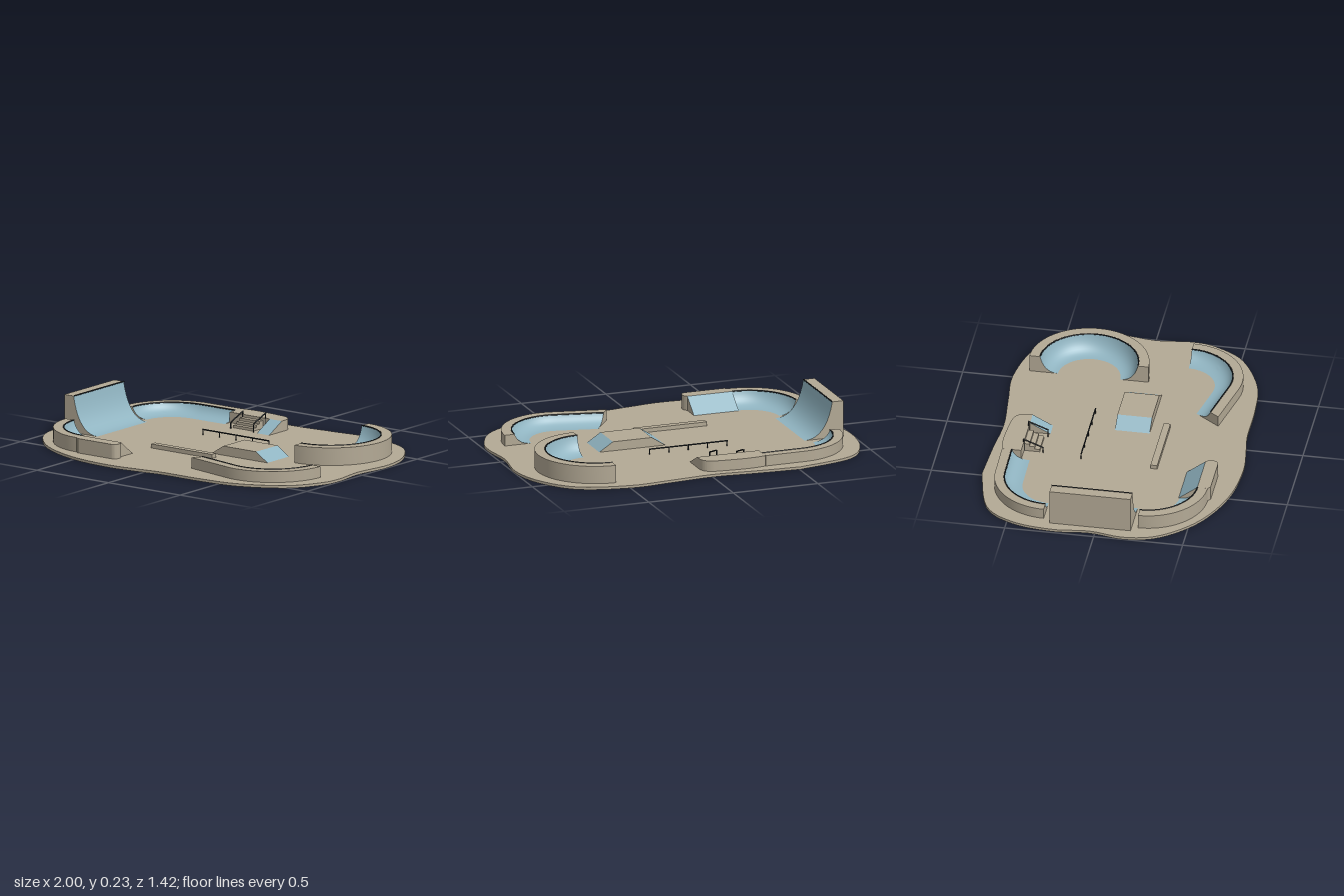
import * as THREE from 'three';
import { toCreasedNormals } from 'three/addons/utils/BufferGeometryUtils.js';

const mat = (name, color) => {
  const m = new THREE.MeshStandardMaterial({ color });
  m.name = name;
  return m;
};
const FLOOR = 0.015;

export function createModel() {
  const concrete = mat('concrete', 0xb3a995);
  const ride = mat('blue riding surface', 0x90b4c1);
  const metal = mat('dark metal', 0x22282b);
  const park = new THREE.Group();
  park.name = 'skatepark';

  const add = (parent, name, geo, material) => {
    const mesh = new THREE.Mesh(geo, material);
    mesh.name = name;
    parent.add(mesh);
    return mesh;
  };

  // Triangles between rows of points
  const skin = (grids) => {
    const pos = [];
    for (const rows of grids)
      for (let i = 0; i < rows.length - 1; i++)
        for (let j = 0; j < rows[i].length - 1; j++) {
          const a = rows[i][j], b = rows[i][j + 1], c = rows[i + 1][j + 1], d = rows[i + 1][j];
          for (const p of [a, b, c, a, c, d]) pos.push(p.x, p.y, p.z);
        }
    const g = new THREE.BufferGeometry();
    g.setAttribute('position', new THREE.Float32BufferAttribute(pos, 3));
    return toCreasedNormals(g, 0.6);
  };

  // Flat slab from a plan outline, whose second coordinate is z
  const slab = (name, shape, top) => {
    const g = new THREE.ExtrudeGeometry(shape, { depth: top, bevelEnabled: false, curveSegments: 16 });
    g.rotateX(Math.PI / 2);
    g.translate(0, top, 0);
    return add(park, name, toCreasedNormals(g, 0.6), concrete);
  };

  const rod = (parent, name, points, radius) => {
    const curve = new THREE.CatmullRomCurve3(points);
    return add(parent, name, new THREE.TubeGeometry(curve, Math.max(2, points.length * 2), radius, 6), metal);
  };

  // Ramp swept along its top edge, clockwise in plan so the deck lies outward
  const ramp = (name, path, { height, deck, run, curved = true, steps = 30, skew = 0 }) => {
    const group = new THREE.Group();
    group.name = name;
    park.add(group);
    const slope = [];
    const n = curved ? 10 : 1;
    for (let k = 0; k <= n; k++) {
      const t = k / n;
      const bend = curved ? 2 * t * (1 - t) * run * 0.22 : 0;
      const o = curved ? bend + t * t * run : t * run;
      const y = curved ? height * (1 - t) ** 2 + FLOOR * (1 - (1 - t) ** 2) : height + (FLOOR - height) * t;
      slope.push([-o, y]);
    }
    const wall = [[deck, 0], [deck, height], [0, height]];
    const pts = path.getSpacedPoints(steps);
    const row = (i, profile) => {
      const u = i / steps, t = path.getTangentAt(u);
      const s = skew * Math.max(0, (u - 0.6) / 0.4);
      return profile.map(([o, y]) => new THREE.Vector3(
        pts[i].x + t.y * o + t.x * s * o, y, pts[i].y - t.x * o + t.y * s * o));
    };
    const sweep = (profile) => pts.map((_, i) => row(i, profile));
    const ground = (r) => r.map((p) => new THREE.Vector3(p.x, 0, p.z));
    const whole = [...wall.slice(deck > 0 ? 1 : 2), ...slope.slice(1)];
    const first = row(0, whole), last = row(steps, whole);
    add(group, 'deck and walls', skin([sweep(wall), [ground(first), first], [last, ground(last)]]), concrete);
    add(group, 'riding face', skin([sweep(slope)]), ride);
    if (curved)
      rod(group, 'coping', pts.map((p) => new THREE.Vector3(p.x, height, p.y)), 0.004);
  };
  const line = (x0, z0, x1, z1) => new THREE.Path().moveTo(x0, z0).lineTo(x1, z1);
  const arc = (x, z, r, a0, a1) => new THREE.Path().absarc(x, z, r, a0, a1, false);

  // Wavy ground slab
  const outline = new THREE.SplineCurve([
    [-0.505, -0.715], [-0.25, -0.7], [0, -0.68], [0.25, -0.7], [0.495, -0.715], [0.78, -0.64], [0.94, -0.455],
    [1, -0.24], [0.975, 0], [0.995, 0.2], [0.97, 0.34], [0.86, 0.51], [0.62, 0.635], [0.38, 0.665],
    [0.125, 0.667], [-0.02, 0.685], [-0.23, 0.705], [-0.505, 0.67], [-0.77, 0.55], [-0.95, 0.36],
    [-1, 0.17], [-0.972, -0.03], [-0.99, -0.24], [-0.95, -0.47], [-0.82, -0.635], [-0.505, -0.715],
  ].map(([x, z]) => new THREE.Vector2(x, z)));
  slab('ground', new THREE.Shape(outline.getPoints(150).slice(0, -1)), FLOOR);

  // Corner bowls
  const H = Math.PI / 2;
  const backLeft = arc(-0.56, -0.3, 0.275, Math.PI, 3 * H);
  backLeft.lineTo(-0.33, -0.578);
  ramp('backCornerBowl', backLeft, { height: 0.075, deck: 0.055, run: 0.1 });
  ramp('backHorseshoeBowl', arc(0.555, -0.3, 0.275, -H, H), { height: 0.115, deck: 0.06, run: 0.1, steps: 40 });
  const frontRight = arc(0.555, 0.23, 0.275, 0, H + 0.2);
  frontRight.lineTo(0.225, 0.44);
  ramp('frontSweepBowl', frontRight, { height: 0.077, deck: 0.058, run: 0.1, skew: 0.45 });
  ramp('frontCornerBowl', arc(-0.56, 0.23, 0.275, H, Math.PI), { height: 0.097, deck: 0.058, run: 0.1 });

  // Bank beside the front corner bowl, with a rounded deck behind it
  ramp('frontBank', line(-0.295, 0.505, -0.56, 0.505), { height: 0.097, deck: 0, run: 0.105, curved: false, steps: 1 });
  const frontDeck = new THREE.Shape();
  frontDeck.moveTo(-0.56, 0.505).lineTo(-0.295, 0.505);
  frontDeck.quadraticCurveTo(-0.278, 0.52, -0.278, 0.54);
  frontDeck.quadraticCurveTo(-0.278, 0.577, -0.31, 0.577);
  frontDeck.lineTo(-0.54, 0.577).lineTo(-0.56, 0.562);
  slab('frontDeck', frontDeck, 0.097);

  // Tall quarter pipe
  ramp('tallQuarterPipe', line(-0.865, 0.195, -0.865, -0.26), { height: 0.222, deck: 0.065, run: 0.165, steps: 2 });

  // Central box with a bank at each end
  const box = { height: 0.067, deck: 0.115, run: 0.08, curved: false, steps: 1 };
  ramp('centreBoxRightHalf', line(0.13, -0.065, 0.13, 0.13), box);
  ramp('centreBoxLeftHalf', line(0.36, 0.13, 0.36, -0.065), box);

  // Back platform with its bank
  const platform = new THREE.Shape();
  platform.moveTo(-0.33, -0.525).lineTo(-0.33, -0.632);
  platform.bezierCurveTo(-0.27, -0.645, -0.22, -0.65, -0.04, -0.63);
  platform.quadraticCurveTo(0.035, -0.62, 0.035, -0.55);
  platform.lineTo(0.035, -0.525);
  slab('backPlatform', platform, 0.075);
  ramp('backBank', line(-0.05, -0.525, 0.035, -0.525), { height: 0.075, deck: 0, run: 0.115, curved: false, steps: 1 });

  // Stairs
  for (let i = 0; i < 3; i++) {
    const top = 0.06 - i * 0.015;
    const step = add(park, 'stairStep', new THREE.BoxGeometry(0.14, top, 0.03), concrete);
    step.position.set(-0.167, top / 2, -0.51 + i * 0.029);
  }

  // Handrails on both sides of the stairs
  const V = (x, y, z) => new THREE.Vector3(x, y, z);
  for (const [x, top] of [[-0.24, 0.092], [-0.08, 0.105]]) {
    const rail = new THREE.Group();
    rail.name = 'handrail';
    park.add(rail);
    rod(rail, 'bar', [V(x, top, -0.53), V(x, top - 0.045, -0.415)], 0.004);
    rod(rail, 'backPost', [V(x, 0.01, -0.527), V(x, top, -0.527)], 0.0035);
    rod(rail, 'frontPost', [V(x, 0.01, -0.418), V(x, top - 0.045, -0.418)], 0.0035);
  }

  // Long flat rail on posts
  const grind = new THREE.Group();
  grind.name = 'flatRail';
  park.add(grind);
  rod(grind, 'bar', [V(-0.268, 0.045, -0.2), V(0.198, 0.045, -0.2)], 0.004);
  for (let i = 0; i < 5; i++) {
    const x = -0.265 + i * 0.115;
    rod(grind, 'post', [V(x, 0.01, -0.2), V(x, 0.045, -0.2)], 0.003);
  }

  // Long low ledge
  const ledge = add(park, 'ledge', new THREE.BoxGeometry(0.425, 0.038, 0.038), concrete);
  ledge.position.set(-0.0825, 0.019, 0.214);

  return park;
}
